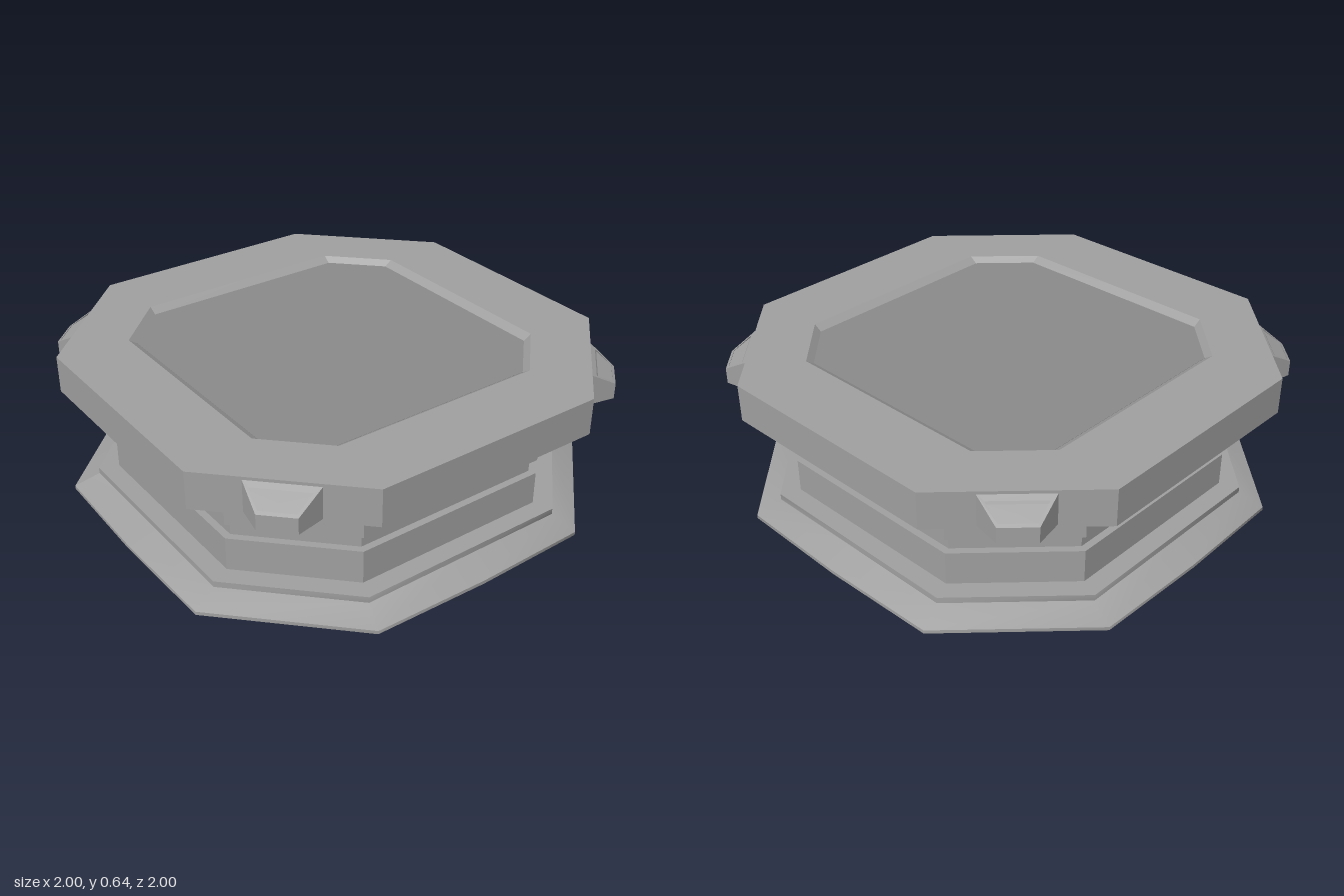
import * as THREE from 'three';
import { mergeGeometries } from 'three/addons/utils/BufferGeometryUtils.js';

const stone = new THREE.MeshStandardMaterial({ color: 0xa0a0a0 });
const darkStone = new THREE.MeshStandardMaterial({ color: 0x8b8b8b });

// Chamfered square ring: half width a, half length b of the straight side, middle of the side at mid
function ring(a, b, y, mid = a) {
  const points = [];
  for (let side = 0; side < 4; side++) {
    for (let [x, z] of [[-b, a], [0, mid], [b, a]]) {
      for (let turn = 0; turn < side; turn++) [x, z] = [z, -x];
      points.push([x, y, z]);
    }
  }
  return points;
}

// Non-indexed piece; shared points are shaded smoothly unless flat
function piece(points, index, flat) {
  const geometry = new THREE.BufferGeometry();
  geometry.setAttribute('position', new THREE.Float32BufferAttribute(points.flat(), 3));
  geometry.setIndex(index);
  if (!flat) geometry.computeVertexNormals();
  const result = geometry.toNonIndexed();
  if (flat) result.computeVertexNormals();
  return result;
}

// Strip between two rings, with a seam at the first point
function band(lower, upper, flat) {
  const n = lower.length;
  const index = [];
  for (let i = 0; i < n; i++) {
    const up = i + n + 1;
    index.push(i, i + 1, up + 1, i, up + 1, up);
  }
  return piece([...lower, lower[0], ...upper, upper[0]], index, flat);
}

// Flat end face
function cap(points) {
  const n = points.length;
  const centre = [0, 1, 2].map((k) => points.reduce((sum, p) => sum + p[k], 0) / n);
  return piece([...points, centre], points.flatMap((p, i) => [n, i, (i + 1) % n]), true);
}

// Joins consecutive rings, edges sharp between bands, and closes both ends
function loft(name, rings, { flat = true, material = stone } = {}) {
  const parts = [cap([...rings[0]].reverse()), cap(rings[rings.length - 1])];
  for (let k = 0; k < rings.length - 1; k++) parts.push(band(rings[k], rings[k + 1], flat));
  const mesh = new THREE.Mesh(mergeGeometries(parts), material);
  mesh.name = name;
  return mesh;
}

// Four-cornered section of a lug: outer edge then inner edge, each [half width, y, z]
function lugSection([w0, y0, z0], [w1, y1, z1]) {
  return [[-w0, y0, z0], [w0, y0, z0], [w1, y1, z1], [-w1, y1, z1]];
}

export function createModel() {
  const group = new THREE.Group();
  group.name = 'pedestal';

  // Flared foot, its long sides slightly bowed at the ground
  group.add(loft('base', [
    ring(0.987, 0.505, 0, 1),
    ring(0.987, 0.505, 0.015, 1),
    ring(0.885, 0.47, 0.06),
    ring(0.885, 0.47, 0.086),
  ], { flat: false }));

  // Column with a groove around its waist
  group.add(loft('column', [
    ring(0.805, 0.437, 0.08),
    ring(0.805, 0.437, 0.23),
    ring(0.775, 0.425, 0.23),
    ring(0.775, 0.425, 0.293),
    ring(0.805, 0.437, 0.293),
    ring(0.805, 0.437, 0.44),
  ]));

  // Collar under the slab
  group.add(loft('collar', [
    ring(0.85, 0.455, 0.428),
    ring(0.885, 0.47, 0.457),
    ring(0.885, 0.47, 0.495),
  ], { flat: false }));

  // Top slab with a bevelled shallow recess
  group.add(loft('topSlab', [
    ring(0.994, 0.507, 0.486),
    ring(0.994, 0.507, 0.643),
    ring(0.69, 0.467, 0.643),
    ring(0.655, 0.465, 0.619),
  ]));

  // Darker floor of the recess
  group.add(loft('recessFloor', [
    ring(0.655, 0.465, 0.6),
    ring(0.655, 0.465, 0.62),
  ], { material: darkStone }));

  // Wedge lugs on the four corner faces, each with a sunken panel
  for (let i = 0; i < 4; i++) {
    const lug = loft('cornerLug', [
      lugSection([0.074, 0.498, 1.163], [0.148, 0.498, 1.05]),
      lugSection([0.074, 0.565, 1.163], [0.148, 0.638, 1.05]),
      lugSection([0.068, 0.573, 1.151], [0.113, 0.617, 1.082]),
      lugSection([0.068, 0.57, 1.151], [0.113, 0.607, 1.088]),
    ]);
    lug.rotation.y = Math.PI / 4 + (i * Math.PI) / 2;
    group.add(lug);
  }
  return group;
}
